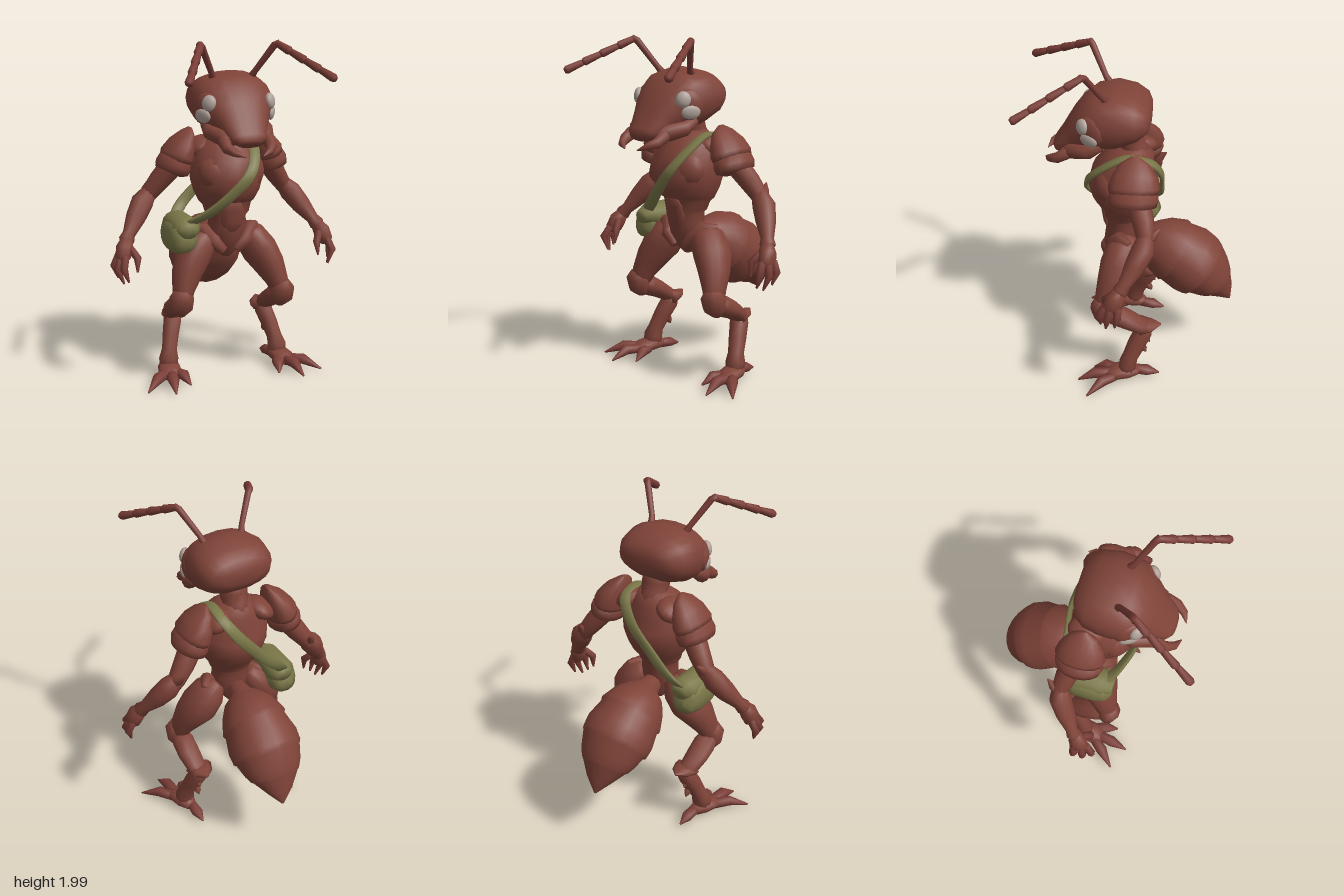
import * as THREE from 'three';

const mat = (name, color) => {
  const m = new THREE.MeshStandardMaterial({ color });
  m.name = name;
  return m;
};
const shell = mat('shell red', 0x7f4338);
const claw = mat('claw red', 0x7a3d36);
const cloth = mat('olive cloth', 0x7a7748);
const eyeGrey = mat('eye grey', 0xb0a29a);

// Solid through elliptical sections [x, y, z, sideRadius, otherRadius]; power > 2 squares the section
function loft(rows, sides = 12, power = 2) {
  const pos = [], idx = [];
  const c = rows.map(r => new THREE.Vector3(r[0], r[1], r[2]));
  const e = v => Math.sign(v) * Math.abs(v) ** (2 / power);
  rows.forEach((r, i) => {
    const t = c[Math.min(i + 1, c.length - 1)].clone().sub(c[Math.max(i - 1, 0)]).normalize();
    const u = new THREE.Vector3(1, 0, 0).addScaledVector(t, -t.x).normalize();
    const v = t.clone().cross(u);
    for (let j = 0; j < sides; j++) {
      const a = (j / sides) * Math.PI * 2;
      const p = c[i].clone().addScaledVector(u, r[3] * e(Math.cos(a))).addScaledVector(v, (r[4] ?? r[3]) * e(Math.sin(a)));
      pos.push(p.x, p.y, p.z);
    }
  });
  const n = rows.length, first = n * sides, last = first + 1;
  pos.push(...c[0].toArray(), ...c[n - 1].toArray());
  for (let j = 0; j < sides; j++) {
    const k = (j + 1) % sides;
    for (let i = 0; i < n - 1; i++) {
      const a = i * sides + j, b = i * sides + k;
      idx.push(a, b, b + sides, a, b + sides, a + sides);
    }
    idx.push(first, k, j, last, (n - 1) * sides + j, (n - 1) * sides + k);
  }
  const g = new THREE.BufferGeometry();
  g.setAttribute('position', new THREE.Float32BufferAttribute(pos, 3));
  g.setIndex(idx);
  g.computeVertexNormals();
  return g;
}

export function createModel() {
  const model = new THREE.Group();
  model.name = 'antWarrior';
  const add = (name, geo, material = shell) => {
    const m = new THREE.Mesh(geo, material);
    m.name = name;
    model.add(m);
    return m;
  };

  // Head and neck
  add('head', loft([
    [0, 1.67, -0.112, 0.11, 0.05], [0, 1.67, -0.09, 0.18, 0.09], [0, 1.667, -0.03, 0.222, 0.135],
    [0, 1.663, 0.06, 0.237, 0.165], [0, 1.642, 0.14, 0.234, 0.17], [0, 1.61, 0.2, 0.215, 0.15],
    [0, 1.575, 0.26, 0.18, 0.118], [0, 1.54, 0.31, 0.148, 0.088], [0, 1.505, 0.355, 0.125, 0.063],
    [0, 1.47, 0.4, 0.105, 0.045], [0, 1.45, 0.425, 0.07, 0.03],
  ], 20, 2.3));
  add('neck', loft([[0, 1.36, -0.03, 0.1], [0, 1.45, -0.01, 0.075], [0, 1.5, 0.01, 0.08], [0, 1.58, 0.03, 0.09]]));

  // Chest, waist and pelvis
  add('torso', loft([
    [0, 0.735, 0.03, 0.03, 0.03], [0, 0.78, 0.04, 0.07, 0.065], [0, 0.86, 0.05, 0.105, 0.09], [0, 0.92, 0.055, 0.115, 0.1],
    [0, 0.98, 0.055, 0.11, 0.105], [0, 1.0, 0.055, 0.13, 0.115], [0, 1.05, 0.05, 0.145, 0.125], [0, 1.07, 0.045, 0.165, 0.15],
    [0, 1.13, 0.045, 0.195, 0.185], [0, 1.2, 0.045, 0.213, 0.207], [0, 1.28, 0.035, 0.215, 0.195],
    [0, 1.36, 0.01, 0.185, 0.15], [0, 1.43, -0.02, 0.13, 0.11], [0, 1.46, -0.02, 0.07, 0.06],
  ], 20));
  add('bellyPlate', loft([[0, 0.9, 0.12, 0.05, 0.03], [0, 0.96, 0.14, 0.07, 0.03], [0, 1.03, 0.15, 0.07, 0.03], [0, 1.08, 0.16, 0.05, 0.03]]));

  // Abdomen with stepped plates
  add('abdomen', loft([
    [0, 0.86, 0, 0.05, 0.05], [0, 0.83, -0.08, 0.07, 0.08], [0, 0.81, -0.11, 0.12, 0.125], [0, 0.78, -0.17, 0.165, 0.17],
    [0, 0.735, -0.25, 0.2, 0.202], [0, 0.727, -0.262, 0.19, 0.192], [0, 0.67, -0.355, 0.215, 0.205],
    [0, 0.63, -0.41, 0.212, 0.195], [0, 0.622, -0.42, 0.2, 0.183], [0, 0.565, -0.48, 0.175, 0.145],
    [0, 0.53, -0.51, 0.15, 0.12], [0, 0.523, -0.516, 0.138, 0.108], [0, 0.46, -0.565, 0.08, 0.06], [0, 0.385, -0.605, 0.006, 0.006],
  ], 20));

  for (const s of [1, -1]) {
    const side = s > 0 ? 'left' : 'right';
    const limb = (name, rows, sides = 10, material = shell) =>
      add(side + name, loft(rows.map(([x, ...r]) => [x * s, ...r]), sides), material);
    const knob = (name, p, size, r, material = shell) => {
      const m = add(side + name, new THREE.SphereGeometry(1, 16, 10), material);
      m.position.set(p[0] * s, p[1], p[2]);
      m.scale.set(...size);
      m.rotation.set(r[0], r[1] * s, r[2] * s);
    };

    // Face
    knob('EyeSocket', [0.172, 1.63, 0.212], [0.045, 0.09, 0.09], [0, -0.6, 0]);
    knob('UpperEye', [0.182, 1.662, 0.258], [0.026, 0.046, 0.042], [0, -0.75, 0.15], eyeGrey);
    knob('LowerEye', [0.205, 1.59, 0.222], [0.02, 0.041, 0.055], [0, -0.5, -0.15], eyeGrey);
    limb('Cheek', [[0.17, 1.54, 0.16, 0.03], [0.165, 1.5, 0.23, 0.045], [0.125, 1.48, 0.32, 0.05], [0.08, 1.465, 0.38, 0.03]]);
    limb('Mandible', [
      [0.1, 1.48, 0.32, 0.038], [0.13, 1.46, 0.36, 0.038], [0.13, 1.43, 0.41, 0.032], [0.1, 1.41, 0.46, 0.022], [0.05, 1.39, 0.487, 0.003],
    ], 8);

    // Antenna
    limb('AntennaStalk', [[0.11, 1.77, 0.12, 0.025], [0.13, 1.82, 0.155, 0.017], [0.215, 1.97, 0.235, 0.02], [0.235, 1.98, 0.255, 0.022]], 8, claw);
    for (let i = 0; i < 4; i++) {
      const at = f => [0.225 + 0.19 * f, 1.98 - 0.175 * f, 0.245 + 0.36 * f];
      limb('AntennaJoint' + i, [[...at(i / 4), 0.019], [...at((i + 0.85) / 4), 0.025], [...at((i + 1) / 4), 0.016]], 8, claw);
    }

    // Shoulder armour in two overlapping plates
    limb('ShoulderPad', [
      [0.195, 1.495, -0.03, 0.01, 0.02], [0.21, 1.46, -0.03, 0.04, 0.08], [0.245, 1.4, -0.03, 0.075, 0.125],
      [0.275, 1.34, -0.03, 0.095, 0.145], [0.285, 1.31, -0.03, 0.09, 0.135],
    ], 16);
    limb('ShoulderRim', [[0.275, 1.34, -0.03, 0.085, 0.13], [0.3, 1.28, -0.03, 0.1, 0.14], [0.31, 1.245, -0.03, 0.095, 0.13], [0.315, 1.235, -0.03, 0.06, 0.08]], 16);
    knob('Collar', [0.14, 1.38, -0.03], [0.09, 0.06, 0.11], [0, 0, -0.5]);
    knob('ChestPlate', [0.095, 1.25, 0.13], [0.11, 0.11, 0.085], [-0.2, 0.3, 0]);

    // Arm
    limb('UpperArm', [[0.24, 1.34, -0.03, 0.07], [0.31, 1.26, -0.06, 0.068], [0.37, 1.18, -0.09, 0.062], [0.43, 1.1, -0.11, 0.05], [0.46, 1.05, -0.11, 0.035]]);
    limb('ElbowSpike', [[0.43, 1.1, -0.1, 0.04], [0.43, 1.13, -0.15, 0.028], [0.41, 1.17, -0.185, 0.003]], 6);
    limb('Forearm', [[0.42, 1.12, -0.11, 0.045], [0.47, 1.06, -0.095, 0.066], [0.525, 0.98, -0.05, 0.058], [0.58, 0.9, 0, 0.037], [0.6, 0.87, 0.02, 0.046], [0.61, 0.85, 0.03, 0.03]]);
    limb('Hand', [[0.595, 0.875, 0.02, 0.035], [0.62, 0.83, 0.045, 0.05, 0.055], [0.635, 0.78, 0.065, 0.045, 0.055], [0.635, 0.75, 0.07, 0.02, 0.03]]);
    const fingers = [
      [[0.59, 0.83, 0.07], [0.56, 0.78, 0.11], [0.565, 0.7, 0.12]],
      [[0.63, 0.79, 0.1], [0.65, 0.73, 0.14], [0.62, 0.65, 0.13]],
      [[0.65, 0.78, 0.07], [0.675, 0.72, 0.09], [0.64, 0.635, 0.1]],
      [[0.65, 0.79, 0.03], [0.68, 0.73, 0.035], [0.66, 0.66, 0.05]],
    ];
    fingers.forEach(([a, b, c], i) => limb('Finger' + i, [[...a, 0.023], [...b, 0.023], [...c, 0.006]], 7, claw));

    // Hip and leg
    limb('HipPlate', [[0.2, 0.9, 0.0, 0.02], [0.15, 0.9, 0.06, 0.045], [0.1, 0.84, 0.1, 0.045], [0.04, 0.78, 0.1, 0.03]]);
    limb('Thigh', [
      [0.1, 0.89, 0.02, 0.05, 0.05], [0.15, 0.84, 0.03, 0.095, 0.11], [0.21, 0.75, 0.05, 0.105, 0.125],
      [0.26, 0.66, 0.09, 0.09, 0.1], [0.295, 0.57, 0.125, 0.065, 0.075], [0.31, 0.5, 0.14, 0.055, 0.06], [0.31, 0.46, 0.14, 0.03, 0.03],
    ], 14);
    limb('KneePlate', [[0.31, 0.57, 0.15, 0.05, 0.05], [0.315, 0.53, 0.155, 0.075, 0.07], [0.315, 0.47, 0.145, 0.07, 0.06], [0.31, 0.43, 0.12, 0.04, 0.03]]);
    limb('Shin', [[0.31, 0.5, 0.16, 0.05, 0.04], [0.31, 0.47, 0.08, 0.07, 0.065], [0.31, 0.43, 0, 0.07, 0.055], [0.3, 0.38, -0.08, 0.06, 0.045], [0.295, 0.35, -0.12, 0.03, 0.03]]);
    limb('HockSpike', [[0.285, 0.37, -0.07, 0.085, 0.045], [0.285, 0.375, -0.14, 0.06, 0.025], [0.285, 0.388, -0.195, 0.006]], 8);
    limb('LowerLeg', [[0.285, 0.39, -0.11, 0.04], [0.295, 0.33, -0.09, 0.055, 0.055], [0.32, 0.25, -0.05, 0.05, 0.055], [0.34, 0.17, -0.015, 0.046, 0.048], [0.35, 0.12, 0, 0.06, 0.055], [0.35, 0.06, 0.01, 0.055, 0.05]]);
    for (const [i, y] of [0.32, 0.24].entries()) {
      limb('CalfSpike' + i, [[0.305, y, -0.07, 0.03], [0.305, y - 0.04, -0.12 + i * 0.02, 0.018], [0.305, y - 0.06, -0.13 + i * 0.02, 0.002]], 6);
    }

    // Clawed foot
    limb('Foot', [[0.335, 0.06, -0.06, 0.035, 0.03], [0.35, 0.07, 0, 0.065, 0.045], [0.365, 0.06, 0.08, 0.07, 0.035], [0.38, 0.045, 0.13, 0.04, 0.025]]);
    const toes = [[[0.38, 0.05, 0.06], [0.46, 0.06, 0.15], [0.545, 0.015, 0.235]],
      [[0.36, 0.05, 0.08], [0.385, 0.06, 0.2], [0.4, 0.012, 0.3]],
      [[0.33, 0.05, 0.06], [0.3, 0.055, 0.14], [0.28, 0.015, 0.21]],
      [[0.33, 0.06, -0.03], [0.325, 0.05, -0.12], [0.32, 0.03, -0.19]]];
    toes.forEach(([a, b, c], i) => limb('Toe' + i, [[...a, 0.03], [...b, 0.036, 0.03], [...c, 0.005]], 8, claw));
  }

  // Flat shoulder strap, from the satchel over the chest and down the back
  const path = new THREE.CatmullRomCurve3([
    [-0.27, 0.94, 0.06], [-0.24, 0.97, 0.13], [-0.15, 1.03, 0.19], [-0.04, 1.13, 0.24], [0.07, 1.25, 0.253], [0.13, 1.37, 0.155],
    [0.135, 1.44, 0.02], [0.125, 1.41, -0.115], [0.05, 1.3, -0.17], [-0.08, 1.15, -0.17], [-0.2, 1.03, -0.165], [-0.26, 0.96, -0.12],
    [-0.28, 0.92, -0.06],
  ].map(p => new THREE.Vector3(...p)));
  add('strap', loft(path.getPoints(60).map(p => [p.x, p.y, p.z, 0.034, 0.014]), 8, 3), cloth);

  // Satchel with a sagging flap
  add('satchel', loft([
    [-0.275, 0.88, -0.135, 0.04, 0.05], [-0.28, 0.87, -0.115, 0.075, 0.085], [-0.28, 0.868, -0.05, 0.09, 0.1],
    [-0.28, 0.87, 0.07, 0.092, 0.1], [-0.28, 0.875, 0.13, 0.075, 0.085], [-0.28, 0.88, 0.155, 0.04, 0.05],
  ], 14, 2.5), cloth);
  add('satchelFlap', loft([
    [-0.265, 0.92, -0.14, 0.05, 0.04], [-0.265, 0.925, -0.1, 0.085, 0.07], [-0.265, 0.925, 0.1, 0.085, 0.07], [-0.27, 0.92, 0.165, 0.05, 0.04],
  ], 14), cloth);
  return model;
}
